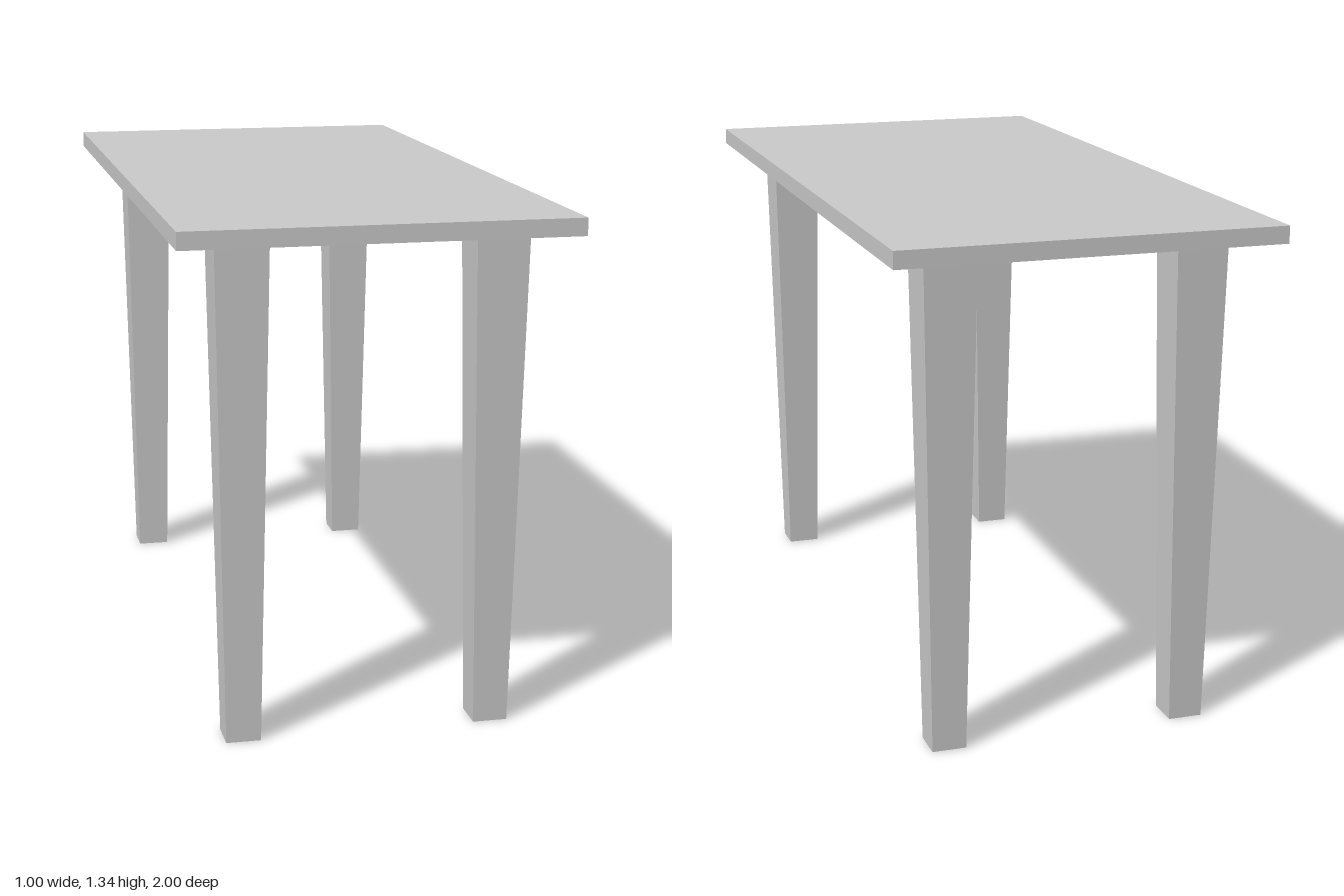
import * as THREE from 'three';

const TOP_Y = 1.337;
const LEG_HEIGHT = 1.292;

export function createModel() {
  const table = new THREE.Group();
  table.name = 'table';
  const solid = new THREE.MeshStandardMaterial({ color: 0xcccccc, flatShading: true });
  const hollow = new THREE.MeshStandardMaterial({ color: 0xcccccc, flatShading: true, side: THREE.DoubleSide });

  // Flat rectangular slab
  const thickness = TOP_Y - LEG_HEIGHT;
  const top = new THREE.Mesh(new THREE.BoxGeometry(1, thickness, 2), solid);
  top.name = 'tabletop';
  top.position.y = LEG_HEIGHT + thickness / 2;
  table.add(top);

  // Square legs, tapering downwards and open at the foot
  const legGeometry = new THREE.CylinderGeometry(0.068 * Math.SQRT2, 0.045 * Math.SQRT2, LEG_HEIGHT, 4, 1, true);
  legGeometry.rotateY(Math.PI / 4);
  for (const [end, z] of [['front', 0.823], ['back', -0.815]]) {
    for (const [side, x] of [['Left', 0.326], ['Right', -0.326]]) {
      const leg = new THREE.Mesh(legGeometry, hollow);
      leg.name = `${end}${side}Leg`;
      leg.position.set(x, LEG_HEIGHT / 2, z);
      table.add(leg);
    }
  }
  return table;
}
